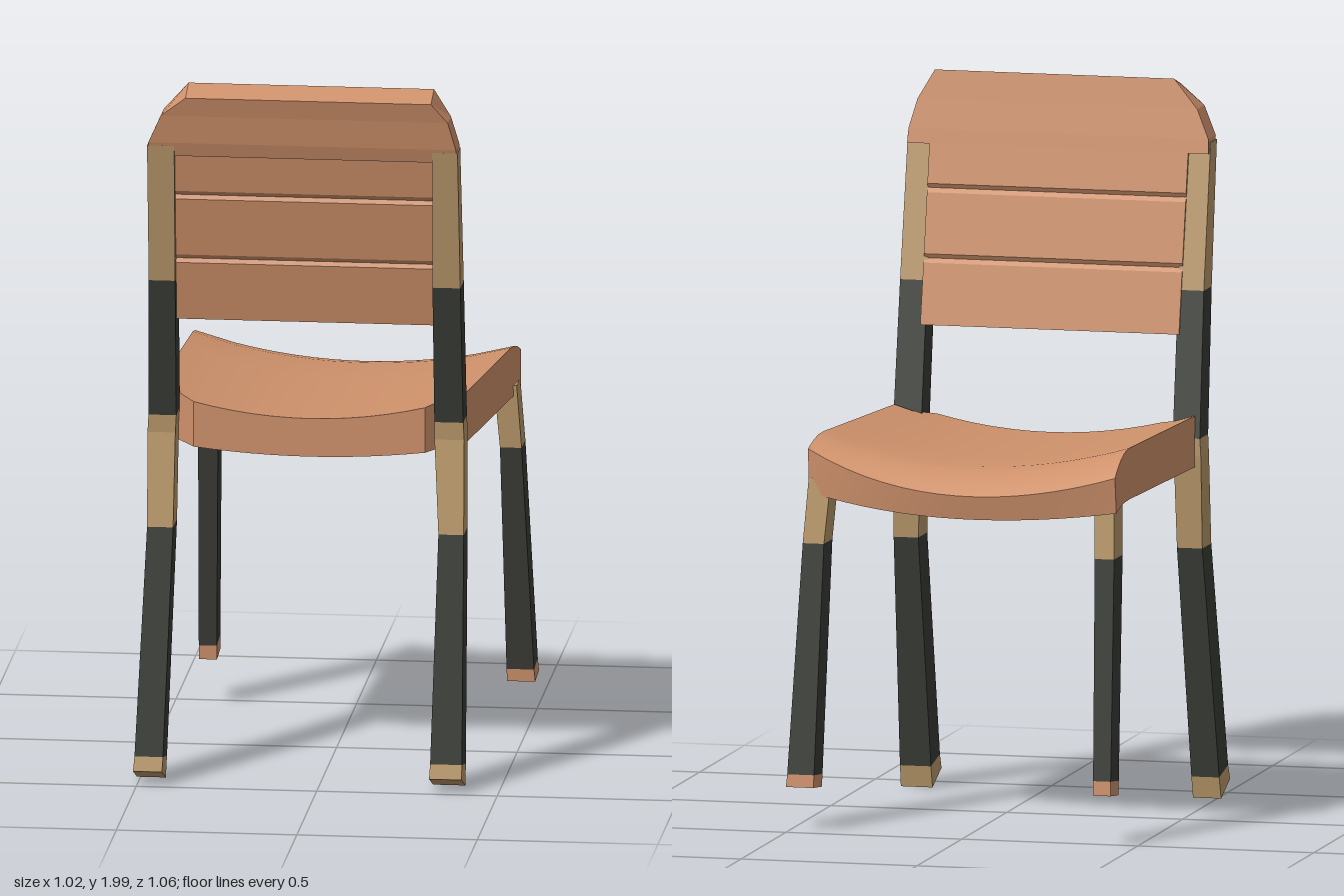
import * as THREE from 'three';
import { toCreasedNormals } from 'three/addons/utils/BufferGeometryUtils.js';

const material = (name, color, flatShading = true) => {
  const m = new THREE.MeshStandardMaterial({ color, flatShading });
  m.name = name;
  return m;
};

// Skins a list of equal closed rings and closes both ends with strips.
function loft(rings) {
  const pos = [];
  const quad = (a, b, c, d) => [a, b, c, a, c, d].forEach((p) => pos.push(...p));
  const n = rings[0].length;
  for (let k = 0; k < rings.length - 1; k++) {
    const lo = rings[k], hi = rings[k + 1];
    for (let i = 0; i < n; i++) {
      const j = (i + 1) % n;
      quad(lo[i], hi[i], hi[j], lo[j]);
    }
  }
  const first = rings[0], last = rings[rings.length - 1];
  for (let i = 0; i < n / 2 - 1; i++) {
    const a = n - 1 - i, b = n - 2 - i;
    quad(first[i], first[i + 1], first[b], first[a]);
    quad(last[a], last[b], last[i + 1], last[i]);
  }
  const g = new THREE.BufferGeometry();
  g.setAttribute('position', new THREE.Float32BufferAttribute(pos, 3));
  g.computeVertexNormals();
  return g;
}

// Four-cornered ring; tilt lifts the +z edge above the -z edge.
const ring = ([y, x0, x1, z0, z1, tilt = 0]) => [
  [x0, y, z0], [x1, y, z0], [x1, y + tilt, z1], [x0, y + tilt, z1],
];

export function createModel() {
  const copper = material('copper wood', 0xce916b);
  const seatCopper = copper.clone();
  seatCopper.flatShading = false;
  const tan = material('tan wood', 0xb9986a);
  const dark = material('dark paint', 0x3a3c36);

  const model = new THREE.Group();
  model.name = 'chair';
  const add = (name, geometry, mat, parent = model) => {
    const mesh = new THREE.Mesh(geometry, mat);
    mesh.name = name;
    parent.add(mesh);
  };

  // A bar painted in bands: one colour between each pair of rows.
  const bar = (name, rows, colors) => {
    const group = new THREE.Group();
    group.name = name;
    colors.forEach((bands, i) => {
      add(`${name}Band${i + 1}`, loft(rows.slice(bands[1], bands[2] + 1).map(ring)), bands[0], group);
    });
    model.add(group);
  };

  // Back posts run from the floor, bend at the seat and lean back
  const postBands = [[tan, 0, 1], [dark, 1, 2], [tan, 2, 4], [dark, 4, 5], [tan, 5, 6]];
  const postZ = [
    [0.01, 0.39, 0.49, 0.04], [0.07, 0.38, 0.48, 0.02], [0.72, 0.29, 0.39],
    [0.98, 0.262, 0.352], [1.03, 0.262, 0.355], [1.43, 0.342, 0.43], [1.83, 0.43, 0.5],
  ];
  const post = (name, xs) => bar(name,
    postZ.map(([y, z0, z1, tilt], i) => [y, xs[i][0], xs[i][1], z0, z1, tilt]), postBands);
  post('rightBackPost', [[-0.51, -0.43], [-0.507, -0.428], [-0.482, -0.41],
    [-0.485, -0.408], [-0.482, -0.405], [-0.473, -0.4], [-0.47, -0.395]]);
  post('leftBackPost', [[0.31, 0.4], [0.312, 0.4], [0.325, 0.395],
    [0.31, 0.392], [0.31, 0.39], [0.313, 0.39], [0.32, 0.39]]);

  // Front legs
  const legBands = [[copper, 0, 1], [dark, 1, 2], [tan, 2, 3]];
  bar('rightFrontLeg', [
    [0.15, -0.43, -0.38, -0.53, -0.44, -0.01], [0.19, -0.43, -0.38, -0.527, -0.437, -0.01],
    [0.8, -0.425, -0.37, -0.47, -0.375], [0.98, -0.42, -0.365, -0.45, -0.36],
  ], legBands);
  bar('leftFrontLeg', [
    [0.13, 0.432, 0.51, -0.46, -0.365, -0.01], [0.165, 0.431, 0.507, -0.457, -0.362, -0.01],
    [0.8, 0.42, 0.48, -0.39, -0.295], [0.98, 0.405, 0.468, -0.37, -0.28],
  ], legBands);

  // Seat: dished across, with a skewed front edge that rolls downward
  const N = 16;
  const seatRings = [0, 0.03, 0.07, 0.12, 0.18, 0.4, 0.7, 1].map((t) => {
    const top = [], bottom = [];
    for (let i = 0; i <= N; i++) {
      const s = i / N, u = 2 * s - 1;
      const x = THREE.MathUtils.lerp(-0.43 - 0.037 * t, 0.47 - 0.083 * t, s);
      const front = -0.48 + 0.11 * s ** 3;
      const back = Math.abs(u) > 0.82 ? 0.265 : 0.325;
      const z = front + (back - front) * t;
      const roll = Math.max(0, 1 - t / 0.18) ** 2 * (1 - 0.5 * s ** 4);
      const dip = 1 - u * u;
      top.push([x, 1.093 - 0.07 * dip - 0.065 * roll, z]);
      bottom.unshift([x, 0.95 - 0.035 * dip - 0.022 * roll, z + 0.015 * roll]);
    }
    return [...top, ...bottom];
  });
  add('seat', toCreasedNormals(loft(seatRings), 0.6), seatCopper);

  // Backrest panel between the posts, with shallow grooves marking the slats
  const face = (y) => 0.312 + (y - 1.31) * 0.208;
  const panelRow = (y, groove = 0) =>
    ring([y, -0.41, 0.325, face(y) + groove, face(y) + 0.065 - groove]);
  const panel = [panelRow(1.31)];
  for (const y of [1.49, 1.68]) {
    panel.push(panelRow(y - 0.012), panelRow(y, 0.009), panelRow(y + 0.012));
  }
  panel.push(panelRow(1.84));
  add('backrestPanel', loft(panel), copper);

  // Top rail with cut corners, spanning both posts
  const rail = [
    [1.8, -0.468, 0.388, 0.412, 0.49], [1.84, -0.466, 0.386, 0.42, 0.503],
    [1.92, -0.43, 0.365, 0.438, 0.518], [2, -0.36, 0.32, 0.455, 0.533, -0.025],
  ];
  add('topRail', loft(rail.map(ring)), copper);

  return model;
}
